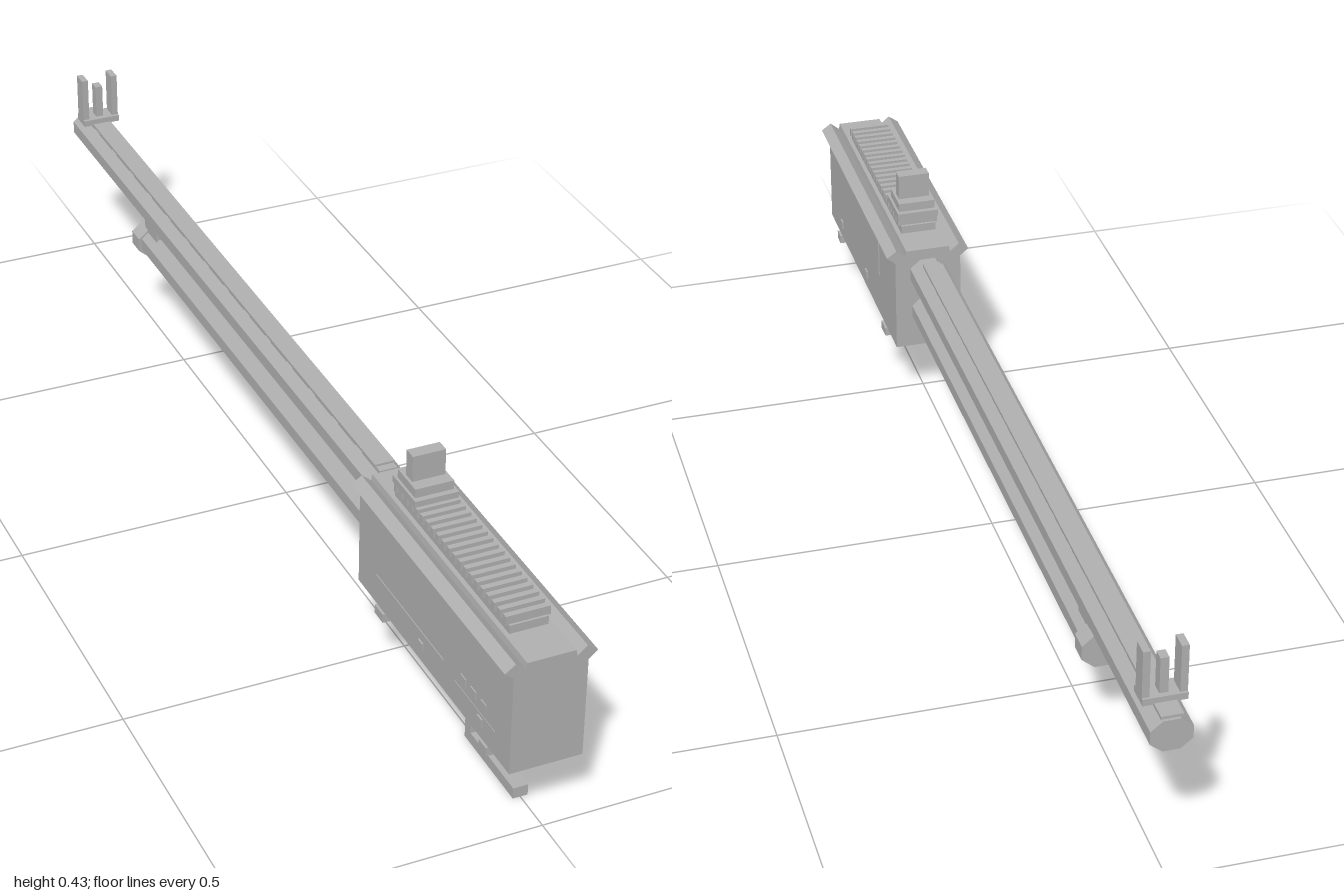
import * as THREE from 'three';

export function createModel() {
  const root = new THREE.Group();
  const grey = new THREE.MeshStandardMaterial({ color: 0xb0b0b0, flatShading: true });
  grey.name = 'plain grey';

  const add = (name, geo) => {
    const mesh = new THREE.Mesh(geo, grey);
    mesh.name = name;
    root.add(mesh);
    return mesh;
  };
  // box given by its limits on each axis
  const box = (name, x0, x1, y0, y1, z0, z1) => {
    const geo = new THREE.BoxGeometry(x1 - x0, y1 - y0, z1 - z0);
    geo.translate((x0 + x1) / 2, (y0 + y1) / 2, (z0 + z1) / 2);
    return add(name, geo);
  };
  // eight-sided bar along z, flat on top, with half width w and half height h
  const octBar = (name, w, h, y, z0, z1) => {
    const geo = new THREE.CylinderGeometry(1, 1, z1 - z0, 8);
    geo.rotateY(Math.PI / 8);
    geo.rotateX(Math.PI / 2);
    const k = 1 / Math.cos(Math.PI / 8);
    geo.scale(w * k, h * k, 1);
    geo.translate(0, y, (z0 + z1) / 2);
    return add(name, geo);
  };

  // housing: one cross-section with winged top edges
  const half = [[0.0625, 0.12], [0.0625, 0.3], [0.078, 0.313], [0.06, 0.326], [0.043, 0.312], [0.041, 0.323]];
  const outline = [...half, ...half.map(([x, y]) => [-x, y]).reverse()];
  const shape = new THREE.Shape(outline.map(([x, y]) => new THREE.Vector2(x, y)));
  const housing = new THREE.ExtrudeGeometry(shape, { depth: 0.55, bevelEnabled: false });
  housing.translate(0, 0, 0.45);
  add('housing', housing);

  // raised side details
  box('sidePanelLeft', 0.06, 0.0645, 0.205, 0.28, 0.58, 0.79);
  box('sideStripRight', -0.064, -0.06, 0.173, 0.177, 0.52, 0.77);
  for (const z of [0.84, 0.875, 0.91]) box('sideMark', -0.0645, -0.06, 0.177, 0.193, z - 0.009, z + 0.009);
  box('lowerSeamRight', -0.0635, -0.06, 0.162, 0.165, 0.81, 0.95);
  for (const z of [0.69, 0.9]) box('crossPin', -0.0655, 0.0655, 0.143, 0.158, z - 0.008, z + 0.008);

  // underside plate with two cross bars
  box('bottomPlate', -0.035, 0.035, 0.111, 0.121, 0.55, 0.91);
  box('rearCrossBar', -0.067, 0.067, 0.104, 0.12, 0.905, 0.93);
  box('frontCrossBar', -0.067, 0.067, 0.104, 0.12, 0.524, 0.555);

  // angled lever below
  box('guardUpright', -0.013, 0.013, 0.02, 0.12, 0.755, 0.775);
  box('guardFoot', -0.013, 0.013, 0, 0.02, 0.755, 0.925);

  // bent inner lever, outlined in the side plane
  const leverShape = new THREE.Shape([
    [0.82, 0.115], [0.84, 0.115], [0.845, 0.075], [0.825, 0.052], [0.812, 0.045], [0.81, 0.055], [0.825, 0.08],
  ].map(([z, y]) => new THREE.Vector2(-z, y)));
  const lever = new THREE.ExtrudeGeometry(leverShape, { depth: 0.02, bevelEnabled: false });
  lever.rotateY(Math.PI / 2);
  lever.translate(-0.01, 0, 0);
  add('innerLever', lever);

  // toothed top rail
  box('railBase', -0.033, 0.033, 0.322, 0.338, 0.52, 0.925);
  const teeth = 21;
  for (let i = 0; i < teeth; i++) {
    const z = 0.53 + i * 0.0193;
    box('railTooth', -0.038, 0.038, 0.337, 0.353, z - 0.005, z + 0.005);
  }

  // stepped rear upright
  box('rearSightClamp', -0.0385, 0.0385, 0.352, 0.364, 0.52, 0.605);
  box('rearSightStep', -0.034, 0.034, 0.364, 0.38, 0.53, 0.595);
  box('rearSightBlade', -0.029, 0.029, 0.38, 0.427, 0.55, 0.573);

  // upper tube with its ventilated rib
  octBar('upperTube', 0.034, 0.028, 0.274, -1, 0.46);
  box('rib', -0.018, 0.018, 0.306, 0.311, -1, 0.41);
  for (let i = 0; i < 15; i++) {
    const z = -0.96 + i * 0.0964;
    box('ribSupport', -0.016, 0.016, 0.3, 0.307, z - 0.035, z + 0.035);
  }

  // lower tube, end cap and bracket
  octBar('lowerTube', 0.031, 0.028, 0.194, -0.65, 0.46);
  octBar('lowerTubeCap', 0.037, 0.031, 0.193, -0.667, -0.63);
  box('tubeBracket', -0.018, 0.018, 0.2, 0.255, -0.645, -0.585);

  // three-post front upright
  box('frontSightBase', -0.036, 0.036, 0.309, 0.321, -0.966, -0.926);
  for (const s of [-1, 1]) box('frontSightEar', s * 0.03 - 0.006, s * 0.03 + 0.006, 0.32, 0.405, -0.962, -0.932);
  box('frontSightPost', -0.007, 0.007, 0.32, 0.385, -0.957, -0.937);

  return root;
}
